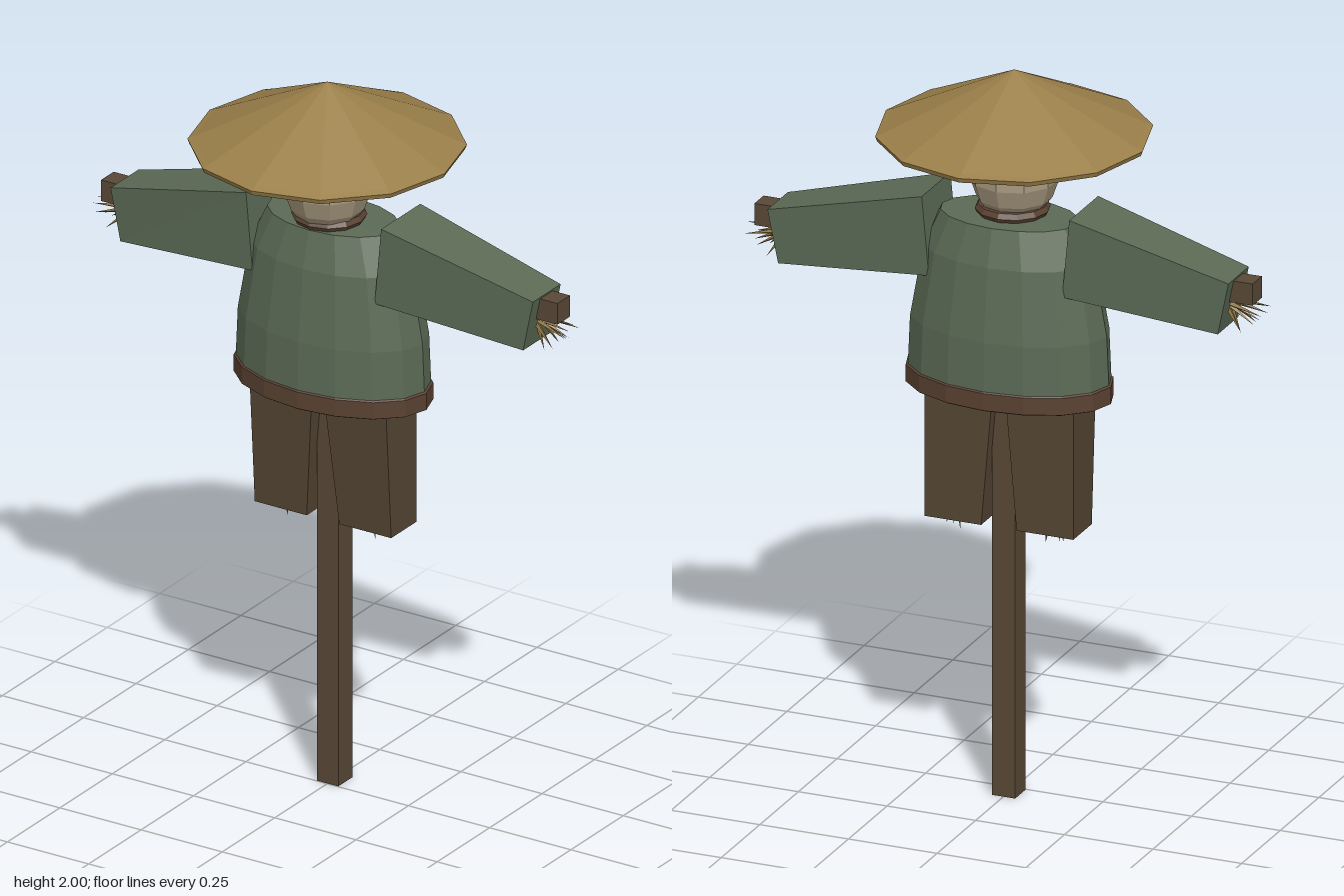
import * as THREE from 'three';

const mat = (name, color, side = THREE.FrontSide) =>
  new THREE.MeshStandardMaterial({ name, color, side, flatShading: true });

export function createModel() {
  const root = new THREE.Group();
  root.name = 'scarecrow';

  const M = {
    hat: mat('woven straw', 0x9a7f49),
    shirt: mat('faded green cloth', 0x5b6a55, THREE.DoubleSide),
    head: mat('sackcloth', 0xa8997f),
    band: mat('rust red cloth', 0x7b4431),
    hem: mat('brown trim', 0x5a4232, THREE.DoubleSide),
    trousers: mat('dark brown cloth', 0x544533),
    wood: mat('weathered wood', 0x584836),
    straw: mat('loose straw', 0x8d7340),
  };

  const add = (name, geo, material, parent = root) => {
    const m = new THREE.Mesh(geo, material);
    m.name = name;
    parent.add(m);
    return m;
  };
  const lathe = (pts, n) =>
    new THREE.LatheGeometry(pts.map(([r, y]) => new THREE.Vector2(r, y)), n);
  const box = (w, h, d, x, y, z) => new THREE.BoxGeometry(w, h, d).translate(x, y, z);

  // Six-sided block whose corners are placed by a rule; side -1 mirrors it in x
  const block = (side, rule) => {
    const g = new THREE.BoxGeometry(2, 2, 2);
    const p = g.attributes.position;
    for (let i = 0; i < p.count; i++) {
      const [x, y, z] = rule(p.getX(i) * side > 0, p.getY(i) > 0, p.getZ(i) > 0);
      p.setXYZ(i, x * side, y, z);
    }
    g.computeVertexNormals();
    return g;
  };

  // One thin pointed stalk from a to b
  const stalk = (a, b, r, parent) => {
    const d = b.clone().sub(a);
    const len = d.length();
    const m = add('stalk', new THREE.ConeGeometry(r, len, 4).translate(0, len / 2, 0), M.straw, parent);
    m.position.copy(a);
    m.quaternion.setFromUnitVectors(new THREE.Vector3(0, 1, 0), d.normalize());
  };

  // Wooden frame
  add('pole', box(0.066, 1.7, 0.068, 0, 0.85, -0.036), M.wood);
  add('crossbar', box(1.405, 0.06, 0.06, 0, 1.51, -0.04), M.wood);

  // Shirt, open at the bottom and closed flat at the shoulders
  const body = new THREE.Group();
  body.name = 'shirtBody';
  body.scale.z = 0.61;
  body.position.z = -0.03;
  root.add(body);
  add('shirt', lathe([[0.276, 1.125], [0.28, 1.17], [0.274, 1.31], [0.238, 1.51], [0.19, 1.61], [0, 1.612]], 16)
    .rotateY(Math.PI / 2), M.shirt, body);
  add('hem', lathe([[0.279, 1.122], [0.286, 1.125], [0.286, 1.172], [0.279, 1.176]], 16)
    .rotateY(Math.PI / 2), M.hem, body);

  // Collar, head, hat band and hat
  const collar = add('collar', new THREE.TorusGeometry(0.083, 0.016, 6, 12).rotateX(Math.PI / 2), M.hem);
  collar.position.set(0, 1.622, -0.01);
  add('head', lathe([[0, 1.6], [0.07, 1.61], [0.1, 1.65], [0.117, 1.70], [0.117, 1.74], [0.1, 1.79], [0, 1.82]], 10), M.head);
  add('hatBand', lathe([[0.09, 1.788], [0.12, 1.788], [0.122, 1.818], [0.09, 1.818]], 12), M.band);
  add('hat', lathe([[0, 1.816], [0.357, 1.816], [0.362, 1.829], [0.345, 1.836], [0, 2]], 12), M.hat);

  for (const side of [1, -1]) {
    const name = side > 0 ? 'left' : 'right';

    // Drooping sleeve, narrower at the cuff
    add(name + 'Sleeve', block(side, (out, up, front) => out
      ? [up ? 0.65 : 0.62, up ? 1.545 : 1.4, front ? 0.026 : -0.106]
      : [up ? 0.208 : 0.188, up ? 1.657 : 1.44, front ? 0.065 : -0.122]), M.shirt);

    // Trouser leg
    add(name + 'Leg', block(side, (out, up, front) => [
      out ? 0.21 : (up ? 0.012 : 0.05),
      up ? 1.2 : 0.76,
      front ? (up ? 0.05 : 0.02) : -0.1]), M.trousers);

    // Straw hand fanning out of the cuff
    const hand = new THREE.Group();
    hand.name = name + 'HandStraw';
    root.add(hand);
    for (let i = 0; i < 9; i++) {
      const t = i / 8;
      const z = -0.04 + 0.032 * Math.sin(i * 2.4);
      stalk(new THREE.Vector3(side * (0.625 + 0.015 * (1 - t)), 1.475 - 0.02 * t, -0.04 + (z + 0.04) * 0.5),
        new THREE.Vector3(side * (0.735 - 0.085 * t * t), 1.475 - 0.088 * t, z), 0.008, hand);
    }

    // Straw sticking out of the trouser cuff
    const foot = new THREE.Group();
    foot.name = name + 'FootStraw';
    root.add(foot);
    for (let i = 0; i < 7; i++) {
      const t = i / 3 - 1;
      const z = -0.04 + 0.028 * Math.sin(i * 2.4);
      stalk(new THREE.Vector3(side * (0.135 + 0.03 * t), 0.775, z),
        new THREE.Vector3(side * (0.135 + 0.045 * t), 0.722 + 0.018 * Math.abs(t), z * 1.1), 0.007, foot);
    }
  }
  return root;
}
